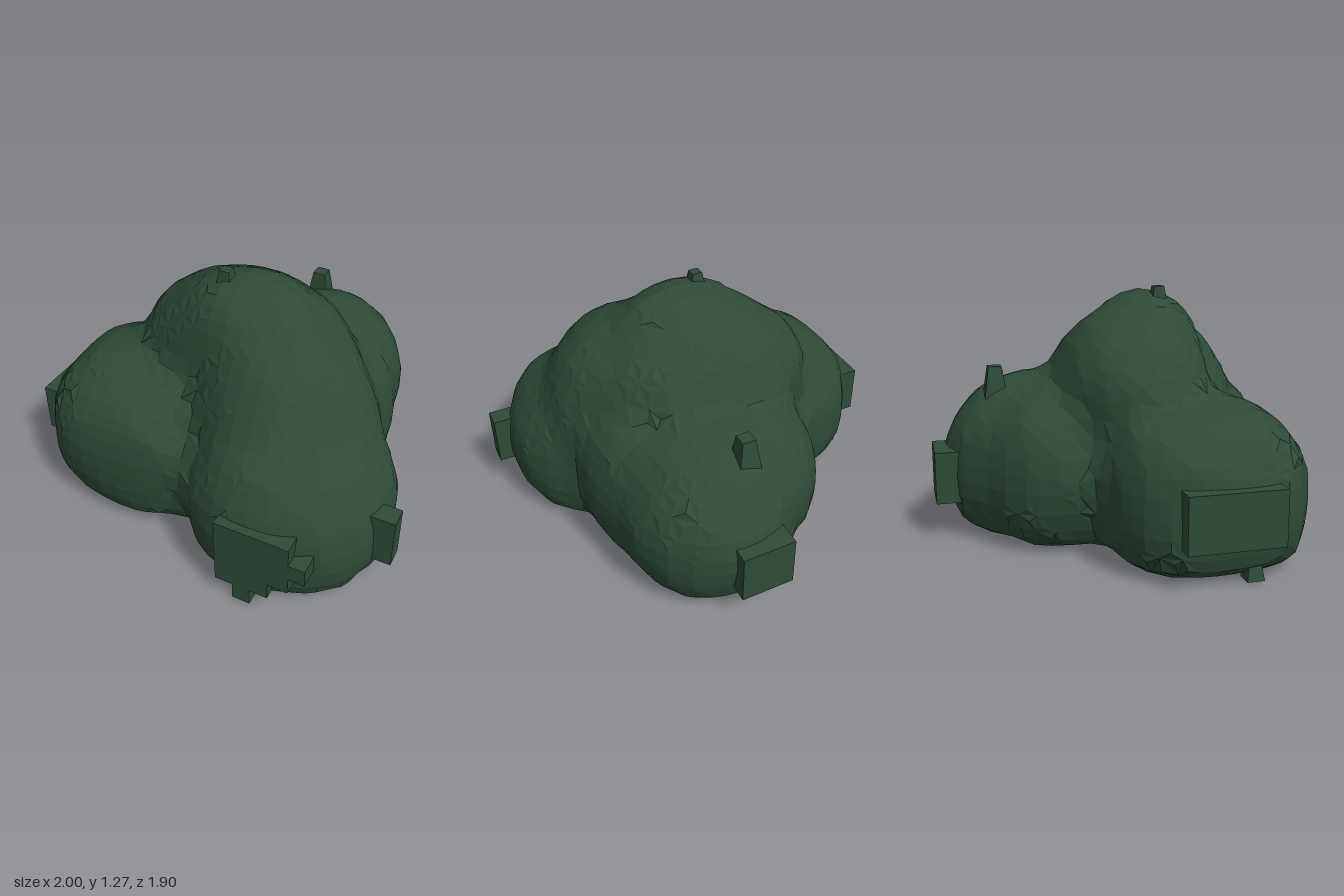
import * as THREE from 'three';

// Rounded lobes of the bush: centre, radii, boxiness
const LOBES = [
  [[-0.42, 0.31, 0.28], [0.53, 0.45, 0.49], 2.6],   // right lobe
  [[0.2, 0.34, -0.4], [0.45, 0.48, 0.49], 2.1],     // back lobe
  [[-0.02, 0.35, -0.28], [0.43, 0.46, 0.44], 2.1],  // back right shoulder
  [[0.45, 0.36, -0.08], [0.265, 0.4, 0.4], 2.2],    // left flank
  [[0.42, 0.28, 0.44], [0.51, 0.5, 0.49], 2.15],    // front left lobe
  [[0.3, 0.5, 0.27], [0.47, 0.6, 0.44], 2],         // ridge down the front left
  [[0, 0.72, 0.04], [0.57, 0.44, 0.4], 2],          // crown
  [[0.06, 0.85, 0.14], [0.42, 0.4, 0.3], 2],        // peak
];
const CELL = 0.09;
const MIN = [-1.08, -0.18, -1.08];
const N = [25, 18, 25];

// Signed field: negative inside the leaves
function field(x, y, z) {
  let d = 1e3;
  for (const [c, r, n] of LOBES) {
    const k = [x, y, z].reduce((s, v, i) => s + Math.abs((v - c[i]) / r[i]) ** n, 0) ** (1 / n);
    const e = (k - 1) * Math.min(...r);
    const h = Math.max(0.04 - Math.abs(d - e), 0);
    d = Math.min(d, e) - h * h / 0.16;
  }
  d += 0.008 * Math.sin(11 * x + 2) * Math.sin(12 * y) * Math.sin(10 * z + 1) - 0.006;
  return Math.max(d, -y);
}

// Faceted skin around the field, one vertex per crossed grid cell
function foliageGeometry() {
  const id = (p) => p[0] + N[0] * (p[1] + N[1] * p[2]);
  const at = (p) => p.map((v, i) => MIN[i] + v * CELL);
  const step = (p, axis, n = 1) => p.map((v, i) => (i === axis ? v + n : v));
  const values = [], vertexOf = {}, positions = [], index = [];
  const each = (last, fn) => {
    for (let z = 0; z < N[2] - last; z++)
      for (let y = 0; y < N[1] - last; y++)
        for (let x = 0; x < N[0] - last; x++) fn([x, y, z]);
  };
  each(0, (p) => { values[id(p)] = field(...at(p)); });

  // Average the crossings on the twelve edges of each cell
  each(1, (p) => {
    const sum = [0, 0, 0];
    let count = 0;
    for (let axis = 0; axis < 3; axis++) {
      for (let k = 0; k < 4; k++) {
        const q = step(step(p, (axis + 1) % 3, k & 1), (axis + 2) % 3, k >> 1);
        const a = values[id(q)], b = values[id(step(q, axis))];
        if ((a < 0) === (b < 0)) continue;
        at(step(q, axis, a / (a - b))).forEach((v, i) => { sum[i] += v; });
        count++;
      }
    }
    if (!count) return;
    vertexOf[id(p)] = positions.length / 3;
    positions.push(sum[0] / count, Math.max(0, sum[1] / count), sum[2] / count);
  });

  // Join the four cells around each crossed edge
  each(1, (p) => {
    for (let axis = 0; axis < 3; axis++) {
      const a = values[id(p)] < 0, b = values[id(step(p, axis))] < 0;
      if (a === b) continue;
      const u = (axis + 1) % 3, v = (axis + 2) % 3;
      const quad = [[-1, -1], [0, -1], [0, 0], [-1, 0]]
        .map(([i, j]) => vertexOf[id(step(step(p, u, i), v, j))]);
      if (!a) quad.reverse();
      index.push(quad[0], quad[1], quad[2], quad[0], quad[2], quad[3]);
    }
  });
  const g = new THREE.BufferGeometry();
  g.setAttribute('position', new THREE.Float32BufferAttribute(positions, 3));
  g.setIndex(index);
  g.computeVertexNormals();
  return g;
}

export function createModel() {
  const group = new THREE.Group();
  group.name = 'bush';
  const leafGreen = new THREE.MeshStandardMaterial({ color: 0x2f4a38, flatShading: true });
  leafGreen.name = 'leafGreen';
  const add = (name, geometry) => {
    const mesh = new THREE.Mesh(geometry, leafGreen);
    mesh.name = name;
    group.add(mesh);
    return mesh;
  };
  // Box from its lower and upper corners
  const block = (name, a, b) => {
    const mesh = add(name, new THREE.BoxGeometry(b[0] - a[0], b[1] - a[1], b[2] - a[2]));
    mesh.position.set((a[0] + b[0]) / 2, (a[1] + b[1]) / 2, (a[2] + b[2]) / 2);
  };

  add('foliage', foliageGeometry());

  // Clipped flat tufts on the sides and back
  block('rightTuft', [-1, 0.19, 0.04], [-0.9, 0.455, 0.5]);
  block('leftTuft', [0.88, 0.19, 0.5], [1, 0.455, 0.6]);
  block('backTuft', [0, 0.19, -0.95], [0.27, 0.455, -0.82]);

  // Stepped flat tuft at the front
  const outline = [[0.36, 0], [0.45, 0], [0.45, 0.09], [0.54, 0.09], [0.54, 0.18], [0.64, 0.18],
    [0.64, 0.27], [0.72, 0.27], [0.72, 0.36], [0.64, 0.36], [0.64, 0.455], [0.27, 0.455],
    [0.27, 0.09], [0.36, 0.09]].map(([x, y]) => new THREE.Vector2(x, y));
  add('frontTuft', new THREE.ExtrudeGeometry(new THREE.Shape(outline), { depth: 0.1, bevelEnabled: false }))
    .position.z = 0.85;

  // Small pointed sprigs: position, radius, height
  const sprigs = [
    ['crownSprig', [-0.05, 1.22, 0.19], 0.06, 0.1],
    ['backSprig', [0.1, 0.79, -0.63], 0.08, 0.16],
    ['baseSprig', [-0.86, 0.05, 0.4], 0.06, 0.1],
  ];
  for (const [name, p, r, h] of sprigs) {
    add(name, new THREE.CylinderGeometry(r * 0.6, r, h, 4, 1).rotateY(Math.PI / 4)).position.set(...p);
  }
  return group;
}
